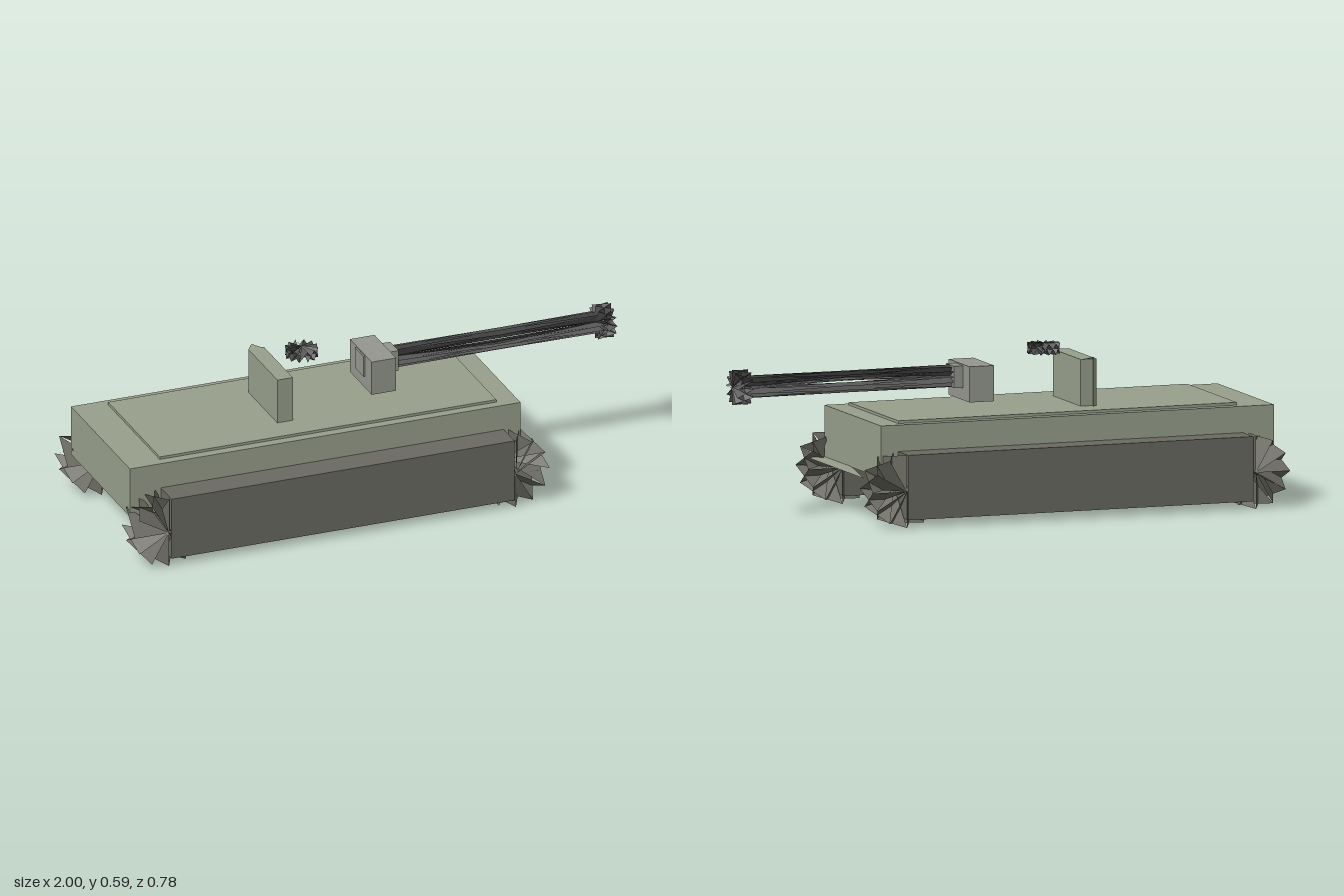
import * as THREE from 'three';

const mat = (color) => new THREE.MeshStandardMaterial({ color, flatShading: true, side: THREE.DoubleSide });

export function createModel() {
  const model = new THREE.Group();
  const hullMat = mat(0x98a08c), trackMat = mat(0x6a6a62), steelMat = mat(0x95978f), darkMat = mat(0x585858);

  const add = (name, geometry, material) => {
    const mesh = new THREE.Mesh(geometry, material);
    mesh.name = name;
    model.add(mesh);
    return mesh;
  };

  // Box given by its extents on each axis
  const box = (name, [x0, x1], [y0, y1], [z0, z1], material) => {
    const mesh = add(name, new THREE.BoxGeometry(x1 - x0, y1 - y0, z1 - z0), material);
    mesh.position.set((x0 + x1) / 2, (y0 + y1) / 2, (z0 + z1) / 2);
    return mesh;
  };

  const triangles = (points) => {
    const geometry = new THREE.BufferGeometry();
    geometry.setAttribute('position', new THREE.Float32BufferAttribute(points.flat(), 3));
    geometry.computeVertexNormals();
    return geometry;
  };

  // Jagged drum along y: fans from both end centres whose rims zigzag between the ends
  const jaggedDrum = (radius, length, sides) => {
    const points = [];
    const rim = (i, y) => {
      const a = (i / sides) * Math.PI * 2;
      return [Math.cos(a) * radius, y, Math.sin(a) * radius];
    };
    for (const y of [-length / 2, length / 2]) {
      for (let i = 0; i < sides; i++) points.push([0, y, 0], rim(i, y), rim(i + 1, -y));
    }
    return triangles(points);
  };

  // Hull, raised deck panel and the slanted lower bow plate
  box('hull', [-0.98, 0.535], [0.17, 0.36], [-0.285, 0.285], hullMat);
  box('deckPanel', [-0.85, 0.455], [0.36, 0.37], [-0.25, 0.25], hullMat);
  add('bowPlate', triangles([[0.6, 0.172, -0.285], [0.475, 0.172, 0.285], [0.6, 0.172, 0.285]]), hullMat);

  // Tracks with a jagged wheel at each end
  for (const side of [-1, 1]) {
    const z = side > 0 ? [0.26, 0.39] : [-0.39, -0.26];
    box('track', [-0.86, 0.47], [0.028, 0.264], z, trackMat);
    for (const x of [-0.87, 0.475]) {
      const wheel = add('trackWheel', jaggedDrum(0.132, 0.13, 12), trackMat);
      wheel.rotation.x = Math.PI / 2;
      wheel.position.set(x, 0.132, side * 0.325);
    }
  }

  // Upright turret plate with a bent sliver at one edge
  box('turretPlate', [-0.35, -0.29], [0.37, 0.54], [-0.14, 0.14], hullMat);
  add('turretPlateEdge', triangles([
    [-0.35, 0.37, -0.14], [-0.35, 0.54, -0.14], [-0.33, 0.55, -0.16],
    [-0.35, 0.37, -0.14], [-0.33, 0.55, -0.16], [-0.33, 0.37, -0.16],
    [-0.33, 0.55, -0.16], [-0.35, 0.54, -0.14], [-0.3, 0.54, -0.14],
  ]), hullMat);

  // Hatch floating above the deck
  add('hatch', jaggedDrum(0.06, 0.04, 12), darkMat).position.set(-0.2, 0.568, 0);

  // Gun: mantlet, sleeve, barrel and muzzle
  box('mantlet', [0.03, 0.125], [0.4, 0.53], [-0.105, 0.105], steelMat);
  box('gunSleeve', [0.024, 0.16], [0.445, 0.525], [-0.04, 0.04], steelMat);
  const gunPart = (name, x0, x1, radius) => {
    const mesh = add(name, jaggedDrum(radius, x1 - x0, 12), darkMat);
    mesh.rotation.z = Math.PI / 2;
    mesh.position.set((x0 + x1) / 2, 0.485, 0);
  };
  gunPart('barrel', 0.16, 0.96, 0.041);
  gunPart('muzzle', 0.938, 1, 0.064);

  return model;
}
